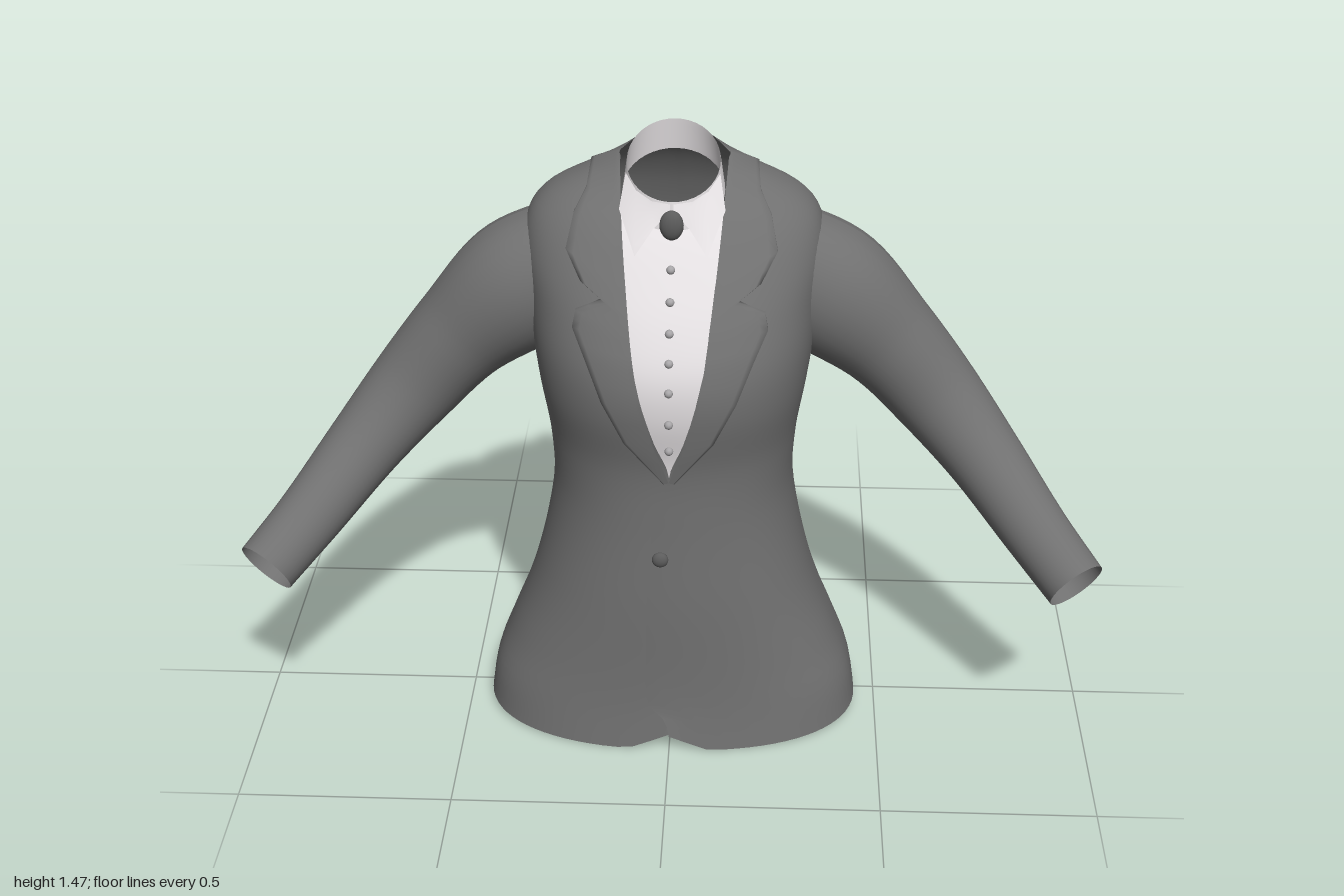
import * as THREE from 'three';

const flat = (name, color, side = THREE.DoubleSide) => {
  const m = new THREE.MeshStandardMaterial({ color, side });
  m.name = name;
  return m;
};

// Torso profile: height, half width, front z, back z, z of the widest point
const PROFILE = [
  [0.0, 0.45, 0.285, -0.35, 0.03],
  [0.1, 0.435, 0.275, -0.345, 0.03],
  [0.2, 0.4, 0.272, -0.32, 0.02],
  [0.4, 0.33, 0.272, -0.255, 0.01],
  [0.62, 0.285, 0.265, -0.225, 0],
  [0.76, 0.288, 0.268, -0.23, 0],
  [0.9, 0.31, 0.295, -0.243, 0],
  [1.0, 0.325, 0.292, -0.258, -0.02],
  [1.1, 0.335, 0.252, -0.262, -0.04],
  [1.2, 0.345, 0.19, -0.243, -0.05],
  [1.28, 0.33, 0.132, -0.218, -0.06],
  [1.33, 0.285, 0.085, -0.195, -0.065],
  [1.37, 0.205, 0.035, -0.17, -0.07],
  [1.405, 0.125, 0.0, -0.14, -0.07],
];
// Half width of the front opening above the closing button, and edge of the overlapping panel
const OPENING = [[0, 0], [0.75, 0], [0.85, 0.033], [1.0, 0.073], [1.2, 0.1], [1.405, 0.122]];
const OVERLAP = [[0, 0], [0.05, -0.01], [0.12, -0.05], [0.25, -0.055], [0.6, -0.04], [0.75, 0]];

// Smooth interpolation of column c of a table keyed by its first column
function sample(table, y, c) {
  const last = table.length - 1;
  if (y <= table[0][0]) return table[0][c];
  if (y >= table[last][0]) return table[last][c];
  let i = 0;
  while (y > table[i + 1][0]) i++;
  const slope = (k) => {
    const a = table[Math.max(k - 1, 0)], b = table[Math.min(k + 1, last)];
    return (b[c] - a[c]) / (b[0] - a[0]);
  };
  const h = table[i + 1][0] - table[i][0], t = (y - table[i][0]) / h;
  const t2 = t * t, t3 = t2 * t;
  return (2 * t3 - 3 * t2 + 1) * table[i][c] + (t3 - 2 * t2 + t) * h * slope(i)
    + (3 * t2 - 2 * t3) * table[i + 1][c] + (t3 - t2) * h * slope(i + 1);
}

const N = 2.3; // roundness of the torso section
const frontZ = (x, y) => {
  const w = sample(PROFILE, y, 1), f = sample(PROFILE, y, 2), c = sample(PROFILE, y, 4);
  return c + (f - c) * Math.pow(Math.max(0, 1 - Math.pow(Math.abs(x) / w, N)), 1 / N);
};

// Surface from a rule giving the point at (row, column), both 0..1
function sheet(rows, cols, point) {
  const pos = [], index = [];
  for (let i = 0; i <= rows; i++) {
    for (let j = 0; j <= cols; j++) {
      pos.push(...point(i / rows, j / cols));
      if (i < rows && j < cols) {
        const a = i * (cols + 1) + j, b = a + cols + 1;
        index.push(a, a + 1, b, b, a + 1, b + 1);
      }
    }
  }
  const g = new THREE.BufferGeometry();
  g.setAttribute('position', new THREE.Float32BufferAttribute(pos, 3));
  g.setIndex(index);
  g.computeVertexNormals();
  return g;
}

// One half of the jacket body, from the front edge to the centre back
function bodyPanel(s) {
  return sheet(64, 40, (v, u) => {
    const yv = 1.405 * (1 - Math.pow(1 - v, 1.4));
    const w = sample(PROFILE, yv, 1), zc = sample(PROFILE, yv, 4);
    let edge = sample(OPENING, yv, 1);
    if (yv < 0.75) edge = s > 0 ? sample(OVERLAP, yv, 1) : 0;
    const start = Math.sign(edge) * Math.asin(Math.min(1, Math.pow(Math.abs(edge) / w, N / 2)));
    const end = Math.PI - Math.pow(0.016 * Math.max(0, 1 - yv / 0.4) / w, N / 2);
    const a = start + (end - start) * u, sn = Math.sin(a), cs = Math.cos(a);
    const x = w * Math.sign(sn) * Math.pow(Math.abs(sn), 2 / N);
    const reach = cs > 0 ? sample(PROFILE, yv, 2) - zc : zc - sample(PROFILE, yv, 3);
    let z = zc + reach * Math.sign(cs) * Math.pow(Math.abs(cs), 2 / N);
    if (s > 0 && cs > 0) z += 0.008 * Math.max(0, 1 - Math.abs(x) / 0.15);
    // hem rises at the centre front and towards the back
    let hem = 0.007 + 0.02 * (1 - cs);
    if (cs > 0) hem += 0.045 * Math.exp(-Math.pow(x / 0.06, 2));
    return [s * x, yv + hem * Math.max(0, 1 - yv / 0.3), z];
  });
}

// Sleeve: centre line, then radii across and along z
const SLEEVE = [
  [0.22, 1.17, -0.06, 0.135, 0.12], [0.355, 1.085, -0.05, 0.155, 0.14],
  [0.5, 0.955, -0.05, 0.122, 0.118], [0.62, 0.82, -0.03, 0.106, 0.103],
  [0.73, 0.7, 0.04, 0.09, 0.09], [0.845, 0.58, 0.17, 0.078, 0.076],
  [0.935, 0.5, 0.285, 0.072, 0.07],
];
function sleeve(s) {
  const path = new THREE.CatmullRomCurve3(SLEEVE.map((p) => new THREE.Vector3(p[0], p[1], p[2])));
  const table = SLEEVE.map((p, i) => [i / (SLEEVE.length - 1), p[3], p[4]]);
  const zAxis = new THREE.Vector3(0, 0, 1);
  return sheet(40, 32, (v, u) => {
    const p = path.getPoint(v), t = path.getTangent(v);
    const up = zAxis.clone().cross(t).normalize(), side = t.clone().cross(up);
    const a = u * Math.PI * 2;
    p.addScaledVector(up, Math.cos(a) * sample(table, v, 1));
    p.addScaledVector(side, Math.sin(a) * sample(table, v, 2));
    return [s * p.x, p.y, p.z];
  });
}

// Lapel and collar rows: inner x, y, outer x, y, then z of both where it wraps the neck
const LAPEL = [
  [0, 0.745, 0.012, 0.742], [0.035, 0.85, 0.1, 0.85], [0.06, 0.95, 0.15, 0.95],
  [0.078, 1.03, 0.187, 1.04], [0.086, 1.09, 0.217, 1.1], [0.088, 1.11, 0.21, 1.135],
  [0.09, 1.125, 0.15, 1.165], [0.092, 1.14, 0.2, 1.195], [0.098, 1.19, 0.235, 1.25],
  [0.112, 1.28, 0.22, 1.315], [0.124, 1.35, 0.195, 1.355],
  [0.125, 1.413, 0.19, 1.385, -0.05, -0.08], [0.085, 1.422, 0.135, 1.365, -0.125, -0.185],
  [0.04, 1.422, 0.06, 1.345, -0.145, -0.205], [0, 1.422, 0, 1.335, -0.15, -0.208],
];
function lapel(s) {
  const rows = (LAPEL.length - 1) * 2;
  return sheet(rows, 9, (v, u) => {
    const k = Math.min(v * (LAPEL.length - 1), LAPEL.length - 1.0001), i = Math.floor(k);
    const t = Math.min(u * 9 / 8, 1), lift = u > 0.99 ? 0 : 0.013; // last column folds in as the rim
    const at = (r) => {
      const x = r[0] + (r[2] - r[0]) * t, y = r[1] + (r[3] - r[1]) * t;
      const z = r.length > 4 ? r[4] + (r[5] - r[4]) * t : frontZ(x, y) + lift;
      return new THREE.Vector3(s * x, y + (r.length > 4 ? lift - 0.01 : 0), z);
    };
    return at(LAPEL[i]).lerp(at(LAPEL[i + 1]), k - i).toArray();
  });
}

// Shirt collar leaf rows: top x, y and bottom x, y
const LEAF = [[0.004, 1.352, 0.004, 1.338], [0.045, 1.356, 0.04, 1.3], [0.08, 1.372, 0.08, 1.25], [0.105, 1.4, 0.118, 1.33]];
function collarLeaf(s) {
  return sheet(3, 6, (v, u) => {
    const [x0, y0, x1, y1] = LEAF[Math.round(v * 3)];
    const z0 = 0.1 * Math.sqrt(1 - Math.pow(x0 / 0.112, 2)) + 0.007;
    const z1 = Math.max(frontZ(x1, y1), z0) + 0.008;
    return [s * (x0 + (x1 - x0) * u), y0 + (y1 - y0) * u, z0 + (z1 - z0) * u];
  });
}

export function createModel() {
  const group = new THREE.Group();
  const jacket = flat('jacket grey', 0x707070);
  const shirt = flat('shirt white', 0xe4e0e2);
  const dark = flat('button grey', 0x5c5c5c, THREE.FrontSide);
  const stud = flat('shirt button grey', 0xa8a6a8, THREE.FrontSide);
  const add = (name, geometry, material) => {
    const m = new THREE.Mesh(geometry, material);
    m.name = name;
    group.add(m);
    return m;
  };

  for (const [s, label] of [[1, 'left'], [-1, 'right']]) {
    add(label + 'BodyPanel', bodyPanel(s), jacket);
    add(label + 'Sleeve', sleeve(s), jacket);
    add(label + 'Lapel', lapel(s), jacket);
    add(label + 'CollarLeaf', collarLeaf(s), shirt);
  }

  // Shirt front behind the opening
  const inset = 0.016;
  add('shirtFront', sheet(30, 12, (v, u) => {
    const y = 0.72 + 0.6 * v, x = (u * 2 - 1) * (sample(OPENING, y, 1) + 0.025);
    return [x, y, frontZ(x, y) - inset];
  }), shirt);

  // Standing collar, high at the back and low at the front
  add('shirtCollar', sheet(5, 40, (v, u) => {
    const a = u * Math.PI * 2, c = Math.cos(a), r = 1.1 - 0.1 * v;
    const low = 1.345 - 0.055 * c, high = 1.415 - 0.06 * c;
    return [0.105 * r * Math.sin(a), low + (high - low) * v, 0.1 * r * c];
  }), shirt);

  // Buttons and neck brooch
  for (const y of [1.22, 1.16, 1.1, 1.04, 0.975, 0.895, 0.82]) {
    add('shirtButton', new THREE.SphereGeometry(0.01, 12, 8), stud).position.set(0, y, frontZ(0, y) - inset + 0.003);
  }
  const button = add('jacketButton', new THREE.SphereGeometry(0.019, 16, 12), dark);
  button.position.set(-0.02, 0.54, frontZ(0, 0.54) + 0.01);
  button.scale.z = 0.6;
  const brooch = add('neckBrooch', new THREE.SphereGeometry(0.027, 16, 12), dark);
  brooch.position.set(0, 1.307, 0.118);
  brooch.scale.set(1, 1.3, 0.6);
  return group;
}
